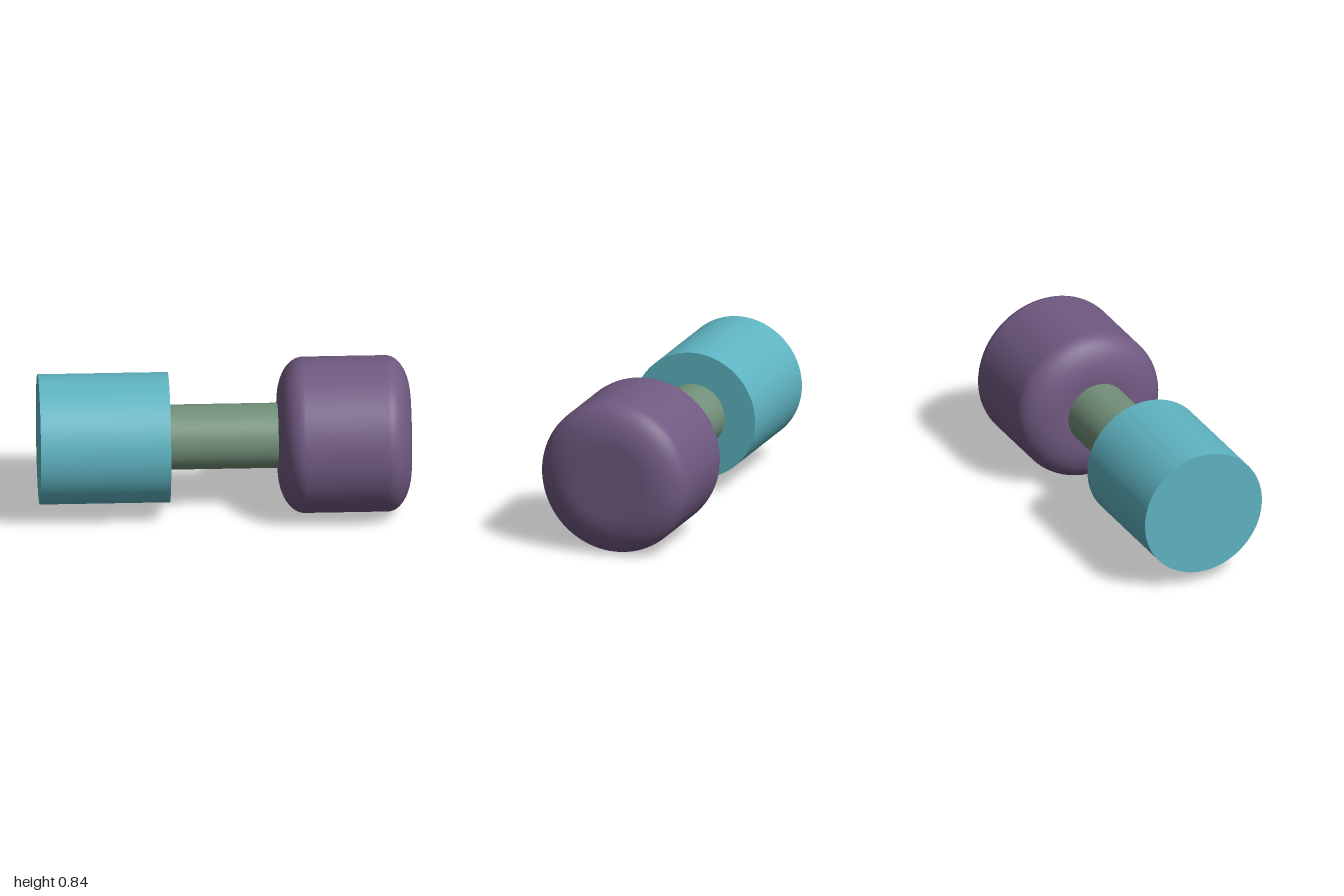
import * as THREE from 'three';

export function createModel() {
  const group = new THREE.Group();
  const axisY = 0.42;

  // Every part is turned about the x axis
  const add = (name, geometry, color, x) => {
    const mesh = new THREE.Mesh(geometry, new THREE.MeshStandardMaterial({ color }));
    mesh.name = name;
    mesh.rotation.z = -Math.PI / 2;
    mesh.position.set(x, axisY, 0);
    group.add(mesh);
  };

  // Plain cylindrical weight and the bar
  add('cylinderWeight', new THREE.CylinderGeometry(0.35, 0.35, 0.7, 96), 0x5fb4c2, -0.65);
  add('handle', new THREE.CylinderGeometry(0.175, 0.175, 0.68, 72), 0x729079, 0);

  // Rounded weight: flat ends with elliptical shoulders
  const R = 0.42, x0 = 0.285, x1 = 1;
  const inner = { w: 0.14, h: 0.22 }, outer = { w: 0.13, h: 0.22 };
  const steps = 16;
  const profile = [new THREE.Vector2(0, x0)];
  for (let i = 0; i <= steps; i++) {
    const a = (i / steps) * Math.PI / 2;
    profile.push(new THREE.Vector2(
      R - inner.h * (1 - Math.sin(a)), x0 + inner.w * (1 - Math.cos(a))));
  }
  for (let i = 0; i <= steps; i++) {
    const a = (i / steps) * Math.PI / 2;
    profile.push(new THREE.Vector2(
      R - outer.h * (1 - Math.cos(a)), x1 - outer.w * (1 - Math.sin(a))));
  }
  profile.push(new THREE.Vector2(0, x1));
  add('roundedWeight', new THREE.LatheGeometry(profile, 96), 0x715a82, 0);

  return group;
}
